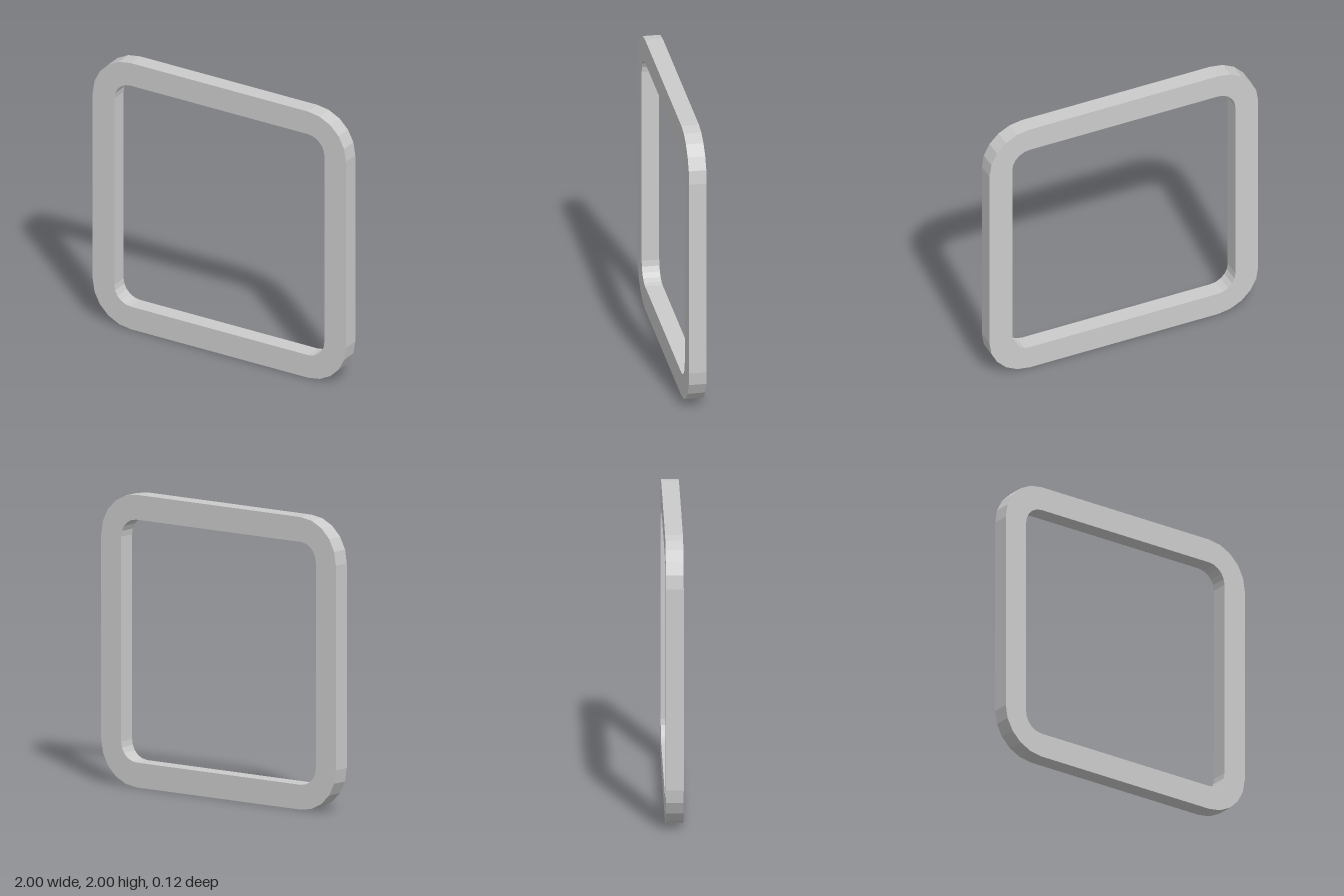
import * as THREE from 'three';

const CORNER = 0.7;    // distance of the corner arc centres from the middle
const DEPTH = 0.12;
const SEGMENTS = 5;    // facets per rounded corner

// Points of a square with faceted round corners, counter-clockwise
function roundedSquare(radius) {
  const points = [];
  for (let c = 0; c < 4; c++) {
    const start = c * Math.PI / 2;
    const cx = CORNER * (c === 0 || c === 3 ? 1 : -1);
    const cy = CORNER * (c < 2 ? 1 : -1);
    for (let i = 0; i <= SEGMENTS; i++) {
      const a = start + (i / SEGMENTS) * Math.PI / 2;
      points.push(new THREE.Vector2(cx + radius * Math.cos(a), cy + radius * Math.sin(a)));
    }
  }
  return points;
}

export function createModel() {
  const group = new THREE.Group();
  group.name = 'squareFrame';

  // Outer outline with the opening cut out
  const outline = new THREE.Shape(roundedSquare(0.3));
  outline.holes.push(new THREE.Path(roundedSquare(0.13).reverse()));

  const geometry = new THREE.ExtrudeGeometry(outline, { depth: DEPTH, bevelEnabled: false });
  geometry.translate(0, 1, -DEPTH / 2);

  const material = new THREE.MeshStandardMaterial({ color: 0xcccccc, flatShading: true });
  const frame = new THREE.Mesh(geometry, material);
  frame.name = 'frame';
  group.add(frame);
  return group;
}
